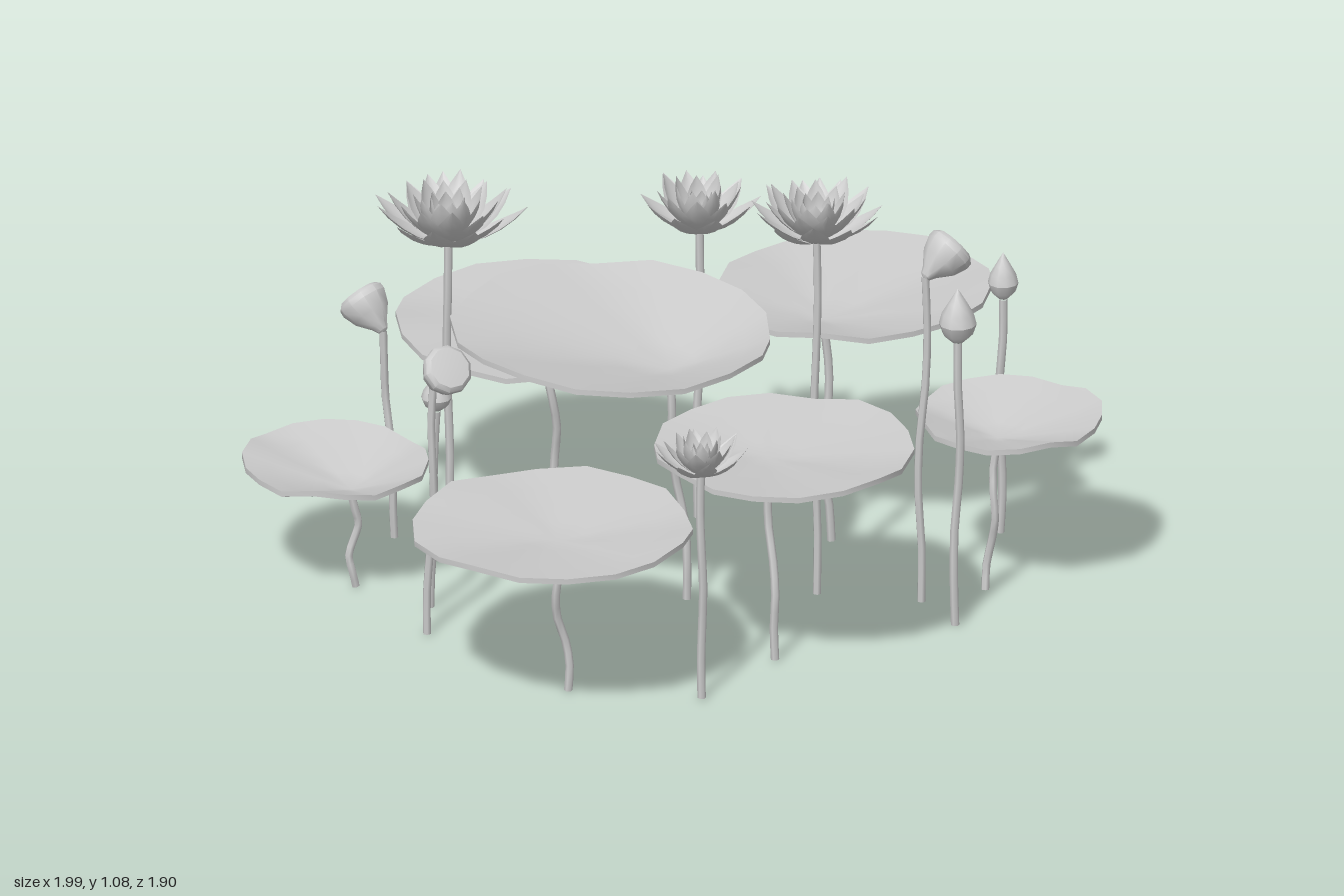
import * as THREE from 'three';
import { toCreasedNormals } from 'three/addons/utils/BufferGeometryUtils.js';

const solid = new THREE.MeshStandardMaterial({ color: 0xcccccc });
const thin = new THREE.MeshStandardMaterial({ color: 0xcccccc, side: THREE.DoubleSide });

// Surface from rows of points: at(i, j) returns [x, y, z]
function loft(rows, cols, at) {
  const pos = [], idx = [];
  for (let i = 0; i <= rows; i++) for (let j = 0; j <= cols; j++) pos.push(...at(i, j));
  for (let i = 0; i < rows; i++) for (let j = 0; j < cols; j++) {
    const a = i * (cols + 1) + j, b = a + cols + 1;
    idx.push(a, a + 1, b, b, a + 1, b + 1);
  }
  const g = new THREE.BufferGeometry();
  g.setAttribute('position', new THREE.Float32BufferAttribute(pos, 3));
  g.setIndex(idx);
  g.computeVertexNormals();
  return g;
}

function mesh(name, geometry, material = solid) {
  const m = new THREE.Mesh(geometry, material);
  m.name = name;
  return m;
}

// Slightly wavering stalk from the ground to the point top
function stem(top, foot, seed, sway = 0.01) {
  const pts = [];
  for (let i = 0; i <= 6; i++) {
    const t = i / 6, w = Math.sin(t * Math.PI) * sway;
    pts.push(new THREE.Vector3(
      foot[0] + (top[0] - foot[0]) * t + w * Math.sin(seed + t * 7),
      top[1] * t,
      foot[1] + (top[2] - foot[1]) * t + w * Math.cos(seed * 2 + t * 6)));
  }
  return mesh('stem', new THREE.TubeGeometry(new THREE.CatmullRomCurve3(pts), 12, 0.0105, 6));
}

// Shallow funnel-shaped pad with a wavy rim; the dip sits off centre over the stalk
function pad({ c, r, rim, tilt = 0, dip, foot }, seed) {
  const sides = 18, stops = [0, 0.25, 0.5, 0.75, 1, 1, 0.75, 0.5, 0.25, 0];
  const geo = loft(stops.length - 1, sides, (i, j) => {
    const a = (j % sides) / sides * Math.PI * 2, t = stops[i];
    const rr = r * (0.99 + 0.014 * Math.sin(3 * a + seed) + 0.012 * Math.sin(7 * a + seed * 3));
    const x = c[0] + rr * Math.cos(a), z = c[1] + rr * Math.sin(a);
    const y = rim + tilt * Math.cos(a) + 0.006 * Math.sin(4 * a + seed) + 0.005 * Math.sin(7 * a + 2 * seed);
    return [
      dip[0] + (x - dip[0]) * t,
      dip[1] + (y - dip[1]) * Math.pow(t, 1.1) + (i < 5 ? 0.014 : 0),
      dip[2] + (z - dip[2]) * t];
  });
  const g = new THREE.Group();
  g.name = 'lilyPad';
  g.add(mesh('padBlade', toCreasedNormals(geo, 0.7)), stem(dip, foot, seed, 0.014));
  return g;
}

// Pointed cupped petal reaching along +z, rising by lift and curling upward
function petalGeometry(length, width, lift) {
  const prof = [0.25, 0.7, 1, 0.92, 0.55, 0];
  return loft(5, 4, (i, j) => {
    const t = i / 5, u = j / 2 - 1;
    const half = width / 2 * prof[i], ang = lift - 0.2 + 0.4 * t;
    const cup = 0.28 * half * u * u;
    return [half * u,
      length * t * Math.sin(ang) + cup * Math.cos(ang),
      length * t * Math.cos(ang) - cup * Math.sin(ang)];
  });
}

// layers: [petal count, length, width, lift angle]
function flower({ at, size, layers, foot }, seed) {
  const g = new THREE.Group(), head = new THREE.Group();
  g.name = 'flower';
  head.name = 'blossom';
  head.position.set(...at);
  layers.forEach(([count, length, width, lift], k) => {
    for (let n = 0; n < count; n++) {
      const vary = 1 + 0.05 * Math.sin(n * 2.4 + seed + k);
      const p = mesh('petal', petalGeometry(length * size * vary, width * size, lift + 0.05 * Math.sin(n * 3.7 + k)), thin);
      const a = (n + k * 0.5) / count * Math.PI * 2 + seed;
      p.rotation.y = a;
      p.position.set(Math.sin(a) * 0.07 * size, k * 0.03 * size, Math.cos(a) * 0.07 * size);
      head.add(p);
    }
  });
  const heart = [[0, -0.02], [0.07, 0], [0.1, 0.07], [0.16, 0.27], [0.14, 0.3], [0, 0.31]];
  head.add(mesh('flowerHeart', lathe(heart, size, 12)));
  g.add(head, stem(at, foot, seed, 0.006));
  return g;
}

function lathe(points, scale, sides) {
  const pts = points.map(([x, y]) => new THREE.Vector2(x * scale, y * scale));
  return toCreasedNormals(new THREE.LatheGeometry(pts, sides), 0.7);
}

// Teardrop bud standing on its stalk
function bud({ at, h, r, foot }, seed) {
  const g = new THREE.Group();
  g.name = 'bud';
  const prof = [[0, 0], [0.3, 0.02], [0.8, 0.17], [1, 0.36], [0.85, 0.55], [0.5, 0.74], [0.2, 0.9], [0, 1]];
  const b = mesh('budHead', lathe(prof, 1, 10));
  b.scale.set(r, h, r);
  b.position.set(...at);
  g.add(b, stem(at, foot, seed, 0.008));
  return g;
}

// Tilted seed pod: a flaring cup with a nearly flat top
function pod({ at, dir, foot }, seed) {
  const g = new THREE.Group();
  g.name = 'seedPod';
  const prof = [[0, -0.008], [0.014, 0], [0.022, 0.015], [0.05, 0.05], [0.063, 0.085], [0.062, 0.1], [0.052, 0.11], [0, 0.115]];
  const p = mesh('podHead', lathe(prof, 1, 10));
  p.position.set(...at);
  p.quaternion.setFromUnitVectors(new THREE.Vector3(0, 1, 0), new THREE.Vector3(...dir).normalize());
  g.add(p, stem(at, foot, seed, 0.01));
  return g;
}

export function createModel() {
  const model = new THREE.Group();
  model.name = 'lilyPond';

  [
    { c: [-0.11, -0.01], r: 0.4, rim: 0.695, tilt: -0.015, dip: [0.04, 0.6, -0.02], foot: [0.08, -0.03] },
    { c: [0.275, -0.61], r: 0.345, rim: 0.635, tilt: 0.01, dip: [0.24, 0.58, -0.5], foot: [0.26, -0.505] },
    { c: [-0.46, -0.37], r: 0.37, rim: 0.51, dip: [-0.44, 0.48, -0.35], foot: [-0.42, -0.37] },
    { c: [0.44, 0.19], r: 0.325, rim: 0.55, dip: [0.39, 0.505, 0.18], foot: [0.43, 0.225] },
    { c: [0, 0.61], r: 0.35, rim: 0.43, dip: [0.02, 0.395, 0.63], foot: [0.04, 0.605] },
    { c: [-0.77, 0.195], r: 0.233, rim: 0.305, tilt: -0.005, dip: [-0.71, 0.245, 0.23], foot: [-0.7, 0.225] },
    { c: [0.77, -0.44], r: 0.233, rim: 0.445, dip: [0.75, 0.385, -0.41], foot: [0.73, -0.38] },
  ].forEach((o, i) => model.add(pad(o, i * 1.7 + 0.4)));

  const full = [[11, 0.95, 0.38, 0.36], [11, 0.84, 0.36, 0.58], [9, 0.68, 0.32, 0.85], [8, 0.52, 0.26, 1.1]];
  const half = [[9, 0.95, 0.4, 0.4], [9, 0.86, 0.38, 0.68], [7, 0.74, 0.32, 0.98], [6, 0.5, 0.24, 1.2]];
  [
    { at: [-0.55, 0.86, 0], size: 0.21, layers: full, foot: [-0.55, 0] },
    { at: [0.355, 0.945, -0.2], size: 0.19, layers: full, foot: [0.36, -0.19] },
    { at: [-0.1, 0.765, -0.515], size: 0.175, layers: half, foot: [-0.1, -0.505] },
    { at: [0.36, 0.6, 0.52], size: 0.138, layers: half, foot: [0.36, 0.515] },
  ].forEach((o, i) => model.add(flower(o, i * 1.3 + 0.2)));

  [
    { at: [0.635, 0.635, -0.705], h: 0.125, r: 0.038, foot: [0.62, -0.72] },
    { at: [0.753, 0.755, -0.16], h: 0.145, r: 0.047, foot: [0.75, -0.15] },
    { at: [-0.463, 0.53, 0.27], h: 0.1, r: 0.038, foot: [-0.48, 0.27] },
  ].forEach((o, i) => model.add(bud(o, i * 2.1 + 1)));

  [
    { at: [0.617, 0.865, -0.27], dir: [0.5, 0.7, -0.8], foot: [0.615, -0.25] },
    { at: [-0.4, 0.685, 0.43], dir: [0.7, 0.7, 0.55], foot: [-0.42, 0.425] },
    { at: [-0.765, 0.55, -0.09], dir: [-0.8, 0.75, -0.25], foot: [-0.735, -0.09] },
  ].forEach((o, i) => model.add(pod(o, i * 1.9 + 2)));

  return model;
}
